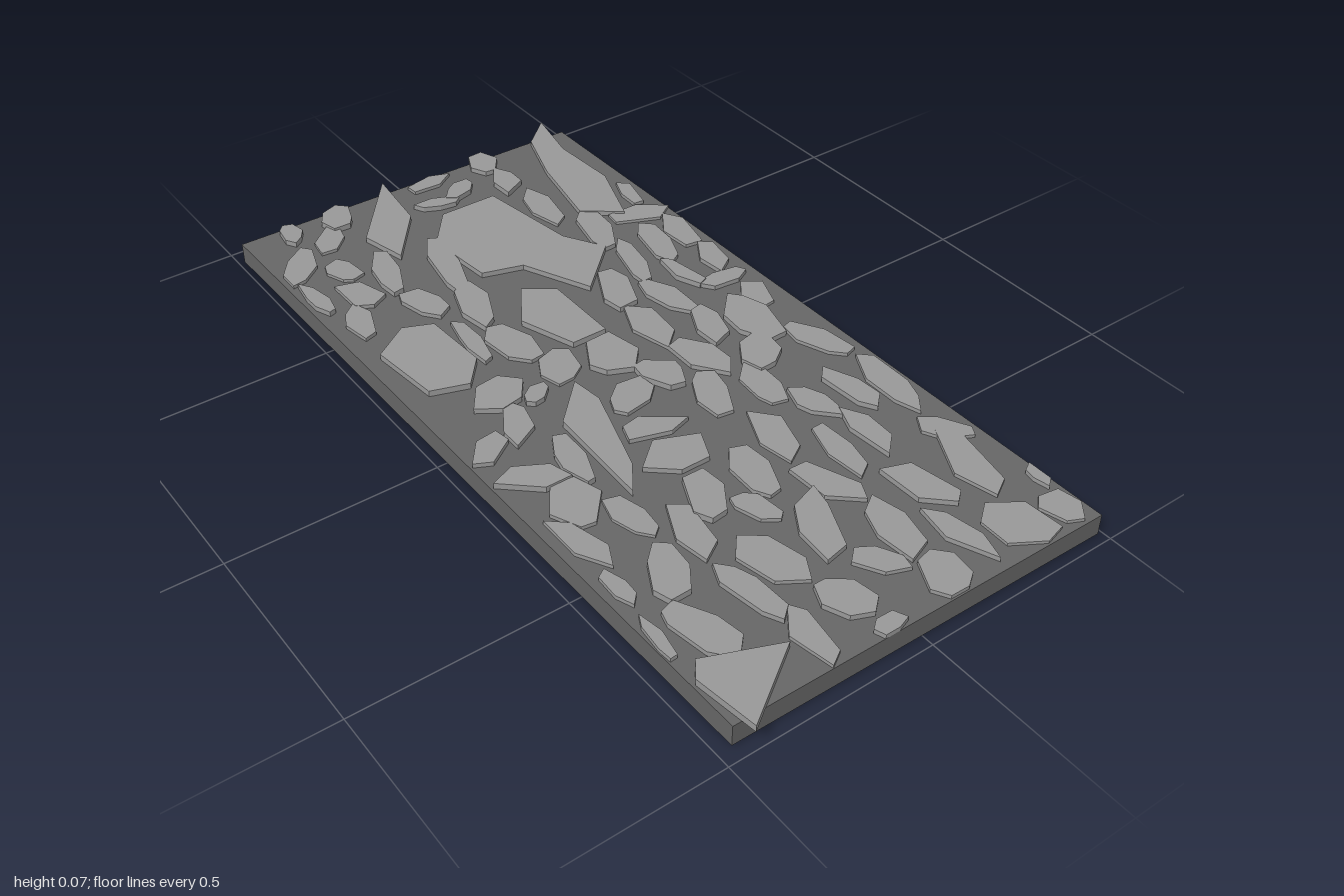
import * as THREE from 'three';

const BASE_TOP = 0.052;

// Small seeded generator, so the stones always break the same way
function makeRandom(seed) {
  let s = seed;
  return () => (s = (s * 16807) % 2147483647) / 2147483647;
}

// Prism from an [x, z] outline, standing from y0 to y1
function prism(outline, y0, y1) {
  const shape = new THREE.Shape(outline.map(([x, z]) => new THREE.Vector2(x, -z)));
  const geo = new THREE.ExtrudeGeometry(shape, { depth: y1 - y0, bevelEnabled: false });
  geo.rotateX(-Math.PI / 2);
  geo.translate(0, y0, 0);
  return geo;
}

export function createModel() {
  const group = new THREE.Group();
  group.name = 'stonePaving';
  const rand = makeRandom(4211);
  const bedMat = new THREE.MeshStandardMaterial({ color: 0x666666, flatShading: true });
  const stoneMat = new THREE.MeshStandardMaterial({ color: 0x999999, flatShading: true });

  // Mortar bed, slightly out of square
  const bed = new THREE.Mesh(
    prism([[-0.945, -0.47], [0.975, -0.49], [0.965, 0.465], [-0.955, 0.485]], 0, BASE_TOP), bedMat);
  bed.name = 'mortarBed';
  group.add(bed);

  const addStone = (outline, top, name) => {
    const stone = new THREE.Mesh(prism(outline, BASE_TOP + 0.001, top), stoneMat);
    stone.name = name;
    group.add(stone);
  };

  // Large flagstones with their own outlines
  const flagstones = [
    [[-1, -0.44], [-0.85, -0.41], [-0.67, -0.42], [-0.5, -0.36], [-0.57, -0.27], [-0.78, -0.31], [-0.93, -0.36]],
    [[-0.76, -0.13], [-0.5, -0.17], [-0.4, -0.23], [-0.28, -0.1], [-0.45, -0.02], [-0.48, 0.08], [-0.66, 0.1], [-0.76, 0.02]],
    [[-0.98, 0.07], [-0.8, 0.09], [-0.66, 0.2], [-0.78, 0.23]],
    [[-0.37, 0.04], [-0.32, -0.03], [-0.12, -0.03], [-0.12, 0.06], [-0.26, 0.11]],
    [[-0.4, 0.35], [-0.37, 0.28], [-0.2, 0.27], [-0.13, 0.33], [-0.16, 0.42], [-0.34, 0.44]],
    [[0, 0.14], [0.08, 0.13], [0.3, 0.2], [0.37, 0.25], [0.1, 0.24]],
    [[0.81, 0.43], [0.88, 0.26], [1, 0.44], [0.85, 0.46]],
  ];
  flagstones.forEach((o, i) => addStone(o, 0.066 + 0.0006 * i, 'flagstone'));

  // Broken stones: [x, z, half length, half width, turn in degrees]
  const addBand = (name, stones) => stones.forEach(([cx, cz, a, b, deg]) => {
    const sides = 5 + Math.floor(rand() * 3);
    const t = THREE.MathUtils.degToRad(deg);
    const outline = [];
    for (let i = 0; i < sides; i++) {
      const u = ((i + 0.5 * rand()) / sides) * Math.PI * 2;
      const r = 0.98 + 0.26 * rand();
      const p = a * r * Math.cos(u), q = b * r * Math.sin(u);
      outline.push([
        THREE.MathUtils.clamp(cx + p * Math.cos(t) - q * Math.sin(t), -0.98, 0.97),
        THREE.MathUtils.clamp(cz + p * Math.sin(t) + q * Math.cos(t), -0.48, 0.47),
      ]);
    }
    addStone(outline, 0.06 + 0.008 * rand(), name);
  });

  addBand('backStone', [
    [-0.58, -0.43, 0.06, 0.02, 10], [-0.48, -0.39, 0.08, 0.04, 110], [-0.36, -0.43, 0.08, 0.035, 10],
    [-0.22, -0.42, 0.07, 0.03, 15], [-0.13, -0.38, 0.06, 0.025, 95], [-0.04, -0.41, 0.06, 0.035, 20],
    [0.04, -0.34, 0.09, 0.05, 5], [0.19, -0.41, 0.09, 0.035, -20], [0.4, -0.43, 0.11, 0.035, 5],
    [0.37, -0.35, 0.09, 0.03, -5], [0.59, -0.42, 0.06, 0.03, -35], [0.7, -0.38, 0.1, 0.045, 10],
    [0.82, -0.47, 0.04, 0.015, 5], [0.91, -0.44, 0.05, 0.04, -30], [0.89, -0.33, 0.08, 0.06, -20],
    [-0.35, -0.35, 0.1, 0.03, 12], [-0.2, -0.32, 0.07, 0.025, -10],
  ]);
  addBand('backMiddleStone', [
    [-0.92, -0.2, 0.05, 0.035, 20], [-0.81, -0.2, 0.06, 0.03, 10], [-0.65, -0.21, 0.09, 0.035, 8],
    [-0.48, -0.26, 0.08, 0.035, 15], [-0.31, -0.25, 0.09, 0.025, 15], [-0.15, -0.23, 0.08, 0.035, -10],
    [0, -0.24, 0.07, 0.03, 15], [0.15, -0.27, 0.07, 0.04, 35], [0.24, -0.2, 0.08, 0.035, 10],
    [0.36, -0.25, 0.06, 0.03, -15], [0.5, -0.28, 0.08, 0.03, 5], [0.51, -0.19, 0.09, 0.03, 10],
    [0.69, -0.25, 0.09, 0.04, -15], [0.85, -0.21, 0.1, 0.03, -8],
  ]);
  addBand('middleStone', [
    [-0.92, -0.03, 0.06, 0.025, 90], [-0.84, -0.08, 0.05, 0.025, 60], [-0.82, 0, 0.05, 0.02, 110],
    [-0.24, -0.15, 0.08, 0.04, 20], [-0.08, -0.13, 0.09, 0.04, 10], [0.08, -0.15, 0.08, 0.04, -10],
    [-0.04, 0.01, 0.07, 0.055, 25], [0.08, -0.04, 0.06, 0.04, -30], [0.2, -0.09, 0.08, 0.035, 20],
    [0.39, -0.11, 0.1, 0.04, 15], [0.58, -0.1, 0.08, 0.045, -20], [0.76, -0.12, 0.09, 0.04, 12],
    [0.91, -0.11, 0.06, 0.045, 25], [0.46, 0, 0.08, 0.04, 10], [0.66, 0, 0.1, 0.04, 25],
    [0.81, -0.03, 0.06, 0.03, -35],
  ]);
  addBand('frontMiddleStone', [
    [-0.56, 0.13, 0.13, 0.03, 12], [-0.38, 0.16, 0.09, 0.035, 15], [-0.21, 0.17, 0.08, 0.04, -10],
    [-0.08, 0.13, 0.06, 0.045, 30], [0.1, 0.06, 0.06, 0.04, 60], [0.22, 0.09, 0.07, 0.035, 105],
    [0.32, 0.1, 0.08, 0.055, 85], [0.46, 0.13, 0.08, 0.04, 20], [0.55, 0.07, 0.06, 0.03, -20],
    [0.68, 0.14, 0.08, 0.05, -15], [0.85, 0.09, 0.06, 0.045, -30], [0.95, 0.07, 0.04, 0.025, 90],
    [0.53, 0.22, 0.09, 0.035, 10], [0.73, 0.23, 0.09, 0.03, -5], [0.89, 0.21, 0.08, 0.035, 10],
  ]);
  addBand('frontStone', [
    [-0.91, 0.24, 0.05, 0.035, 30], [-0.84, 0.3, 0.07, 0.03, 40], [-0.91, 0.37, 0.04, 0.025, 10],
    [-0.77, 0.42, 0.07, 0.035, 35], [-0.7, 0.34, 0.05, 0.035, -20], [-0.62, 0.26, 0.09, 0.03, 15],
    [-0.58, 0.36, 0.06, 0.04, -25], [-0.62, 0.45, 0.07, 0.02, -5], [-0.49, 0.41, 0.07, 0.03, 15],
    [-0.46, 0.25, 0.07, 0.035, -15], [-0.27, 0.24, 0.08, 0.02, 5],
    [-0.07, 0.3, 0.07, 0.05, 70], [-0.02, 0.23, 0.035, 0.02, 60], [0.04, 0.32, 0.07, 0.035, 15],
    [0.08, 0.42, 0.06, 0.03, 65], [0.21, 0.39, 0.08, 0.035, -60], [0.21, 0.29, 0.08, 0.03, 10],
    [0.32, 0.36, 0.07, 0.05, 25], [0.42, 0.29, 0.07, 0.03, -10], [0.42, 0.42, 0.09, 0.03, -15],
    [0.57, 0.43, 0.05, 0.02, 0], [0.6, 0.33, 0.08, 0.04, 25], [0.75, 0.37, 0.09, 0.04, -15],
    [0.72, 0.45, 0.06, 0.015, 5],
  ]);

  return group;
}
